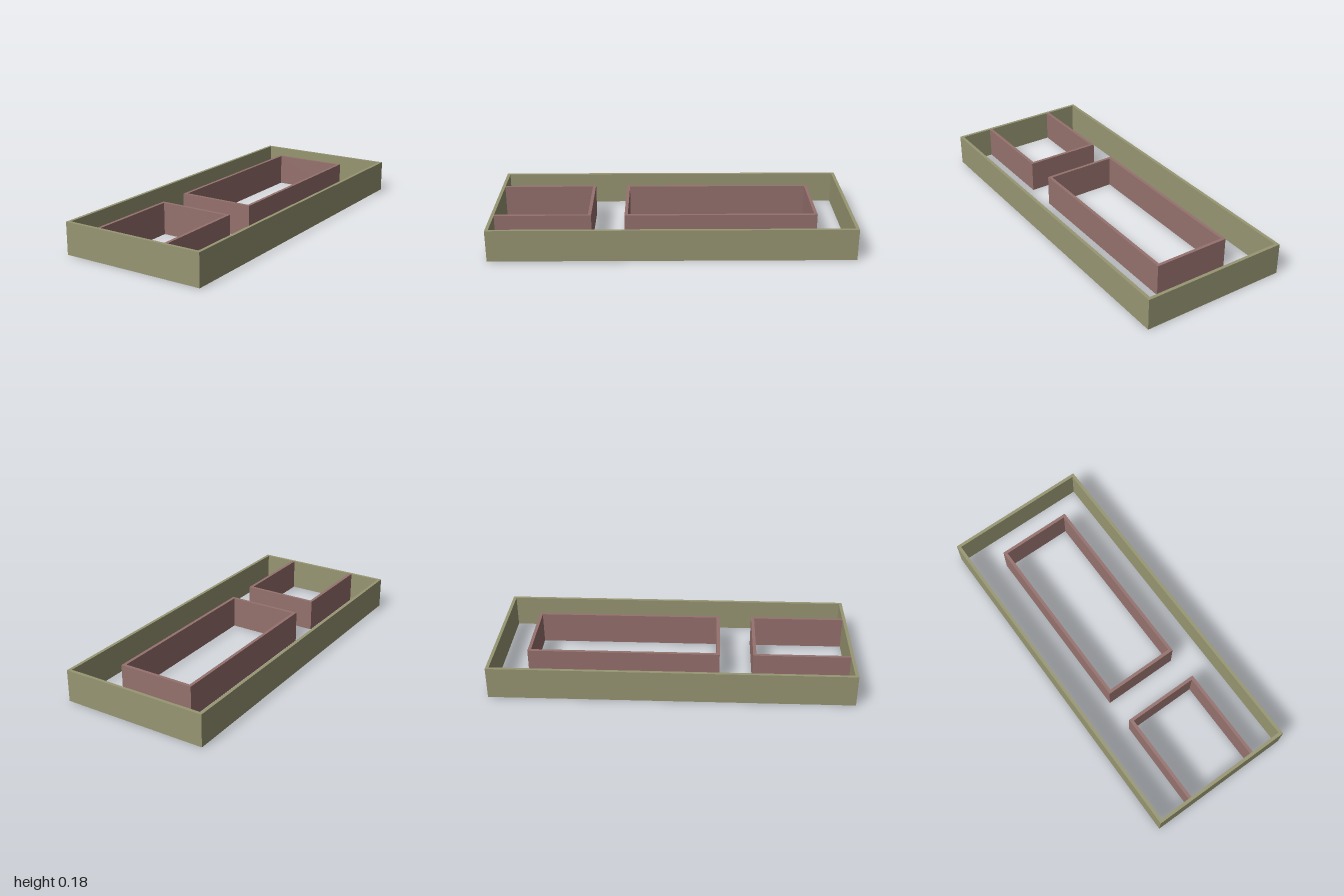
import * as THREE from 'three';

const HEIGHT = 0.18;
const WALL = 0.018;

const rectangle = (Type, x, z0, z1) => {
  const outline = new Type();
  outline.moveTo(-x, -z1);
  outline.lineTo(x, -z1);
  outline.lineTo(x, -z0);
  outline.lineTo(-x, -z0);
  outline.closePath();
  return outline;
};

// Raises a flat plan (drawn in x and -z) into an upright wall
function raise(name, shape, material) {
  const geometry = new THREE.ExtrudeGeometry(shape, { depth: HEIGHT, bevelEnabled: false });
  geometry.rotateX(-Math.PI / 2);
  const mesh = new THREE.Mesh(geometry, material);
  mesh.name = name;
  return mesh;
}

// Closed rectangular wall, open at top and bottom
function frame(name, x, z0, z1, material) {
  const shape = rectangle(THREE.Shape, x, z0, z1);
  shape.holes.push(rectangle(THREE.Path, x - WALL, z0 + WALL, z1 - WALL));
  return raise(name, shape, material);
}

// Three-sided wall, open towards the front
function bay(name, x, z0, z1, material) {
  const shape = new THREE.Shape();
  const inner = x - WALL;
  [[-x, z1], [-inner, z1], [-inner, z0 + WALL], [inner, z0 + WALL],
    [inner, z1], [x, z1], [x, z0], [-x, z0]]
    .forEach(([px, pz], i) => (i ? shape.lineTo(px, -pz) : shape.moveTo(px, -pz)));
  return raise(name, shape, material);
}

export function createModel() {
  const olive = new THREE.MeshStandardMaterial({ color: 0x979672 });
  const rose = new THREE.MeshStandardMaterial({ color: 0x95716d });
  const group = new THREE.Group();
  group.name = 'walledEnclosure';

  group.add(
    frame('outerWall', 0.418, -1, 1, olive),
    frame('rearInnerWall', 0.219, -0.805, 0.262, rose),
    // The bay ends against the inside of the outer front wall
    bay('frontInnerWall', 0.219, 0.446, 1 - WALL, rose),
  );
  return group;
}
